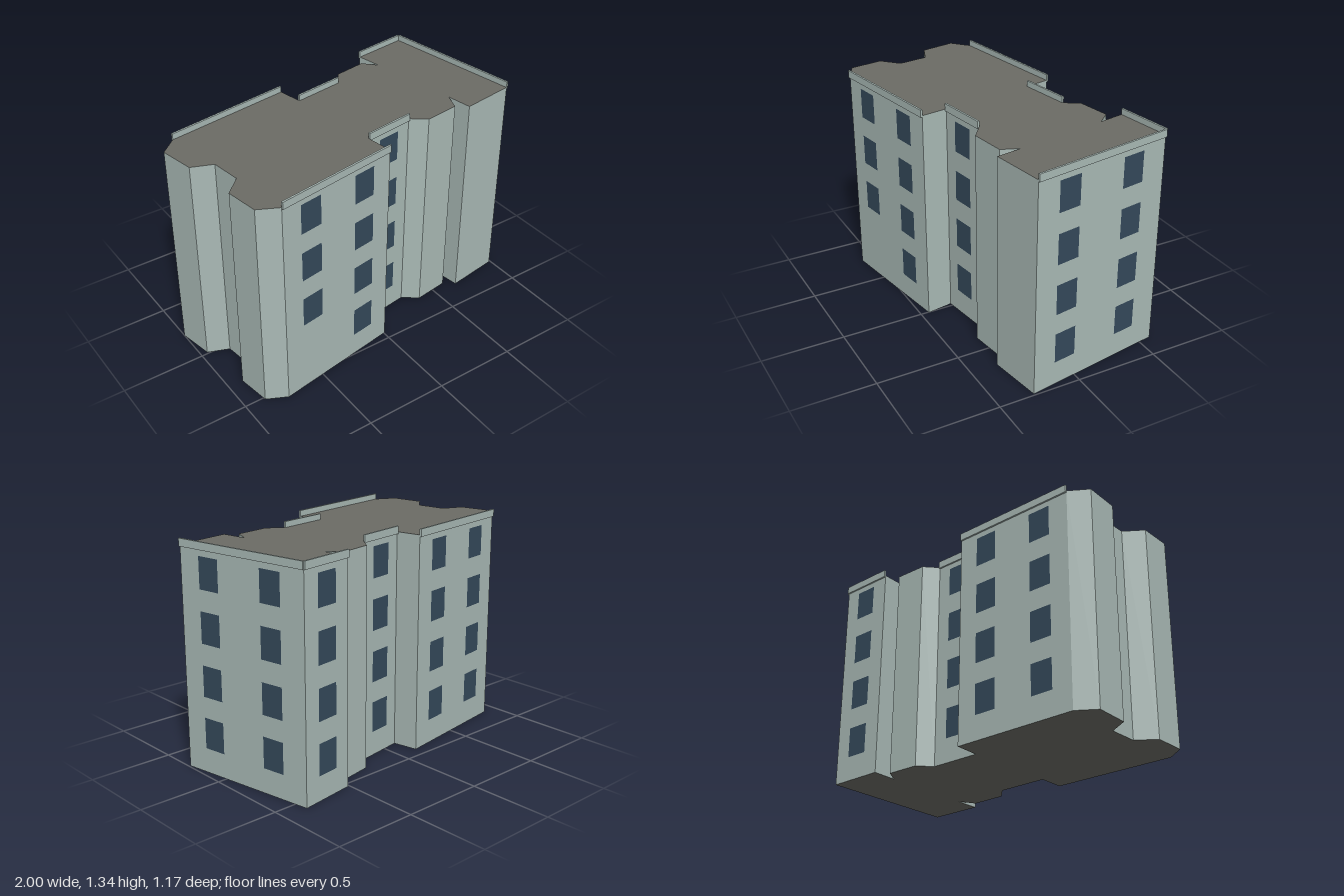
import * as THREE from 'three';

const HEIGHT = 1.3;
const ROWS = [0.24, 0.548, 0.857, 1.163];

// Footprint corners [x, z], running along the back, right, front and left sides
const OUTLINE = [
  [-0.90, -0.31], [-0.13, -0.43], [-0.10, -0.28], [0.21, -0.33], [0.27, -0.42], [0.47, -0.455],
  [0.54, -0.375], [0.51, -0.53], [0.85, -0.58], [0.99, 0.285], [0.66, 0.335], [0.635, 0.18],
  [0.595, 0.285], [0.38, 0.315], [0.29, 0.245], [-0.02, 0.29], [0.005, 0.45], [-0.76, 0.575],
  [-0.88, 0.515], [-0.91, 0.315], [-0.81, 0.22], [-0.835, 0.04], [-0.96, -0.01], [-1.0, -0.22],
];

// Walls with windows and a parapet: starting corner, column positions along the wall
const FACADES = [
  { name: 'backLeftWing', corner: 0, columns: [0.25, 0.75] },
  { name: 'backMiddle', corner: 2, columns: [0.5] },
  { name: 'backRightWing', corner: 7, columns: [0.5] },
  { name: 'rightEnd', corner: 8, columns: [0.26, 0.76] },
  { name: 'frontMiddle', corner: 14, columns: [0.5] },
  { name: 'frontLeftWing', corner: 16, columns: [0.25, 0.75], noGroundWindow: 1 },
];

export function createModel() {
  const model = new THREE.Group();
  model.name = 'apartmentBlock';
  const wallMat = new THREE.MeshStandardMaterial({ color: 0xa9b9b5, flatShading: true });
  const roofMat = new THREE.MeshStandardMaterial({ color: 0x6b6b65, flatShading: true });
  const glassMat = new THREE.MeshStandardMaterial({ color: 0x34495a });

  // Main body: roof and base caps, plain side walls
  const footprint = new THREE.Shape(OUTLINE.map(([x, z]) => new THREE.Vector2(x, -z)));
  const bodyGeo = new THREE.ExtrudeGeometry(footprint, { depth: HEIGHT, bevelEnabled: false });
  bodyGeo.rotateX(-Math.PI / 2);
  const body = new THREE.Mesh(bodyGeo, [roofMat, wallMat]);
  body.name = 'body';
  model.add(body);

  const windowGeo = new THREE.PlaneGeometry(0.14, 0.184);

  for (const { name, corner, columns, noGroundWindow } of FACADES) {
    const [ax, az] = OUTLINE[corner];
    const [bx, bz] = OUTLINE[corner + 1];
    const length = Math.hypot(bx - ax, bz - az);

    // Local frame of the wall: +z points outward, origin at the middle of its foot
    const facade = new THREE.Group();
    facade.name = name;
    facade.position.set((ax + bx) / 2, 0, (az + bz) / 2);
    facade.rotation.y = Math.atan2(bz - az, ax - bx);

    // Parapet strip along the roof edge
    const parapet = new THREE.Mesh(new THREE.BoxGeometry(length, 0.045, 0.012), wallMat);
    parapet.name = 'parapet';
    parapet.position.set(0, 1.3125, 0.004);
    facade.add(parapet);

    // Window grid; the wall runs towards local -x
    columns.forEach((t, c) => ROWS.forEach((y, r) => {
      if (r === 0 && c === noGroundWindow) return;
      const pane = new THREE.Mesh(windowGeo, glassMat);
      pane.name = 'window';
      pane.position.set((0.5 - t) * length, y, 0.003);
      facade.add(pane);
    }));
    model.add(facade);
  }
  return model;
}
